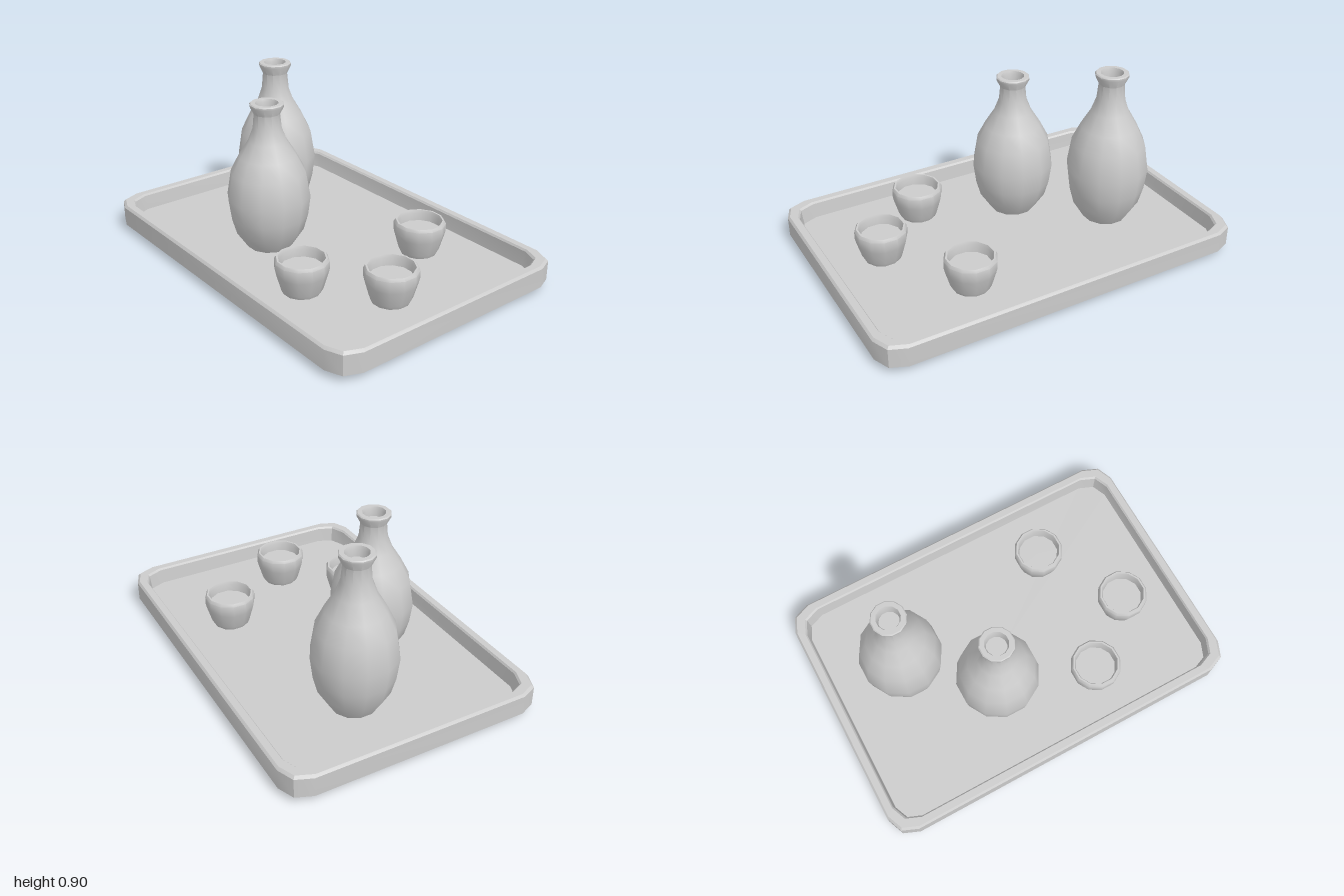
import * as THREE from 'three';
import { toCreasedNormals } from 'three/addons/utils/BufferGeometryUtils.js';

const material = new THREE.MeshStandardMaterial({ color: 0xcccccc });
const FLOOR = 0.06;
const SIDES = 12;

function makeMesh(name, geometry, crease) {
  const mesh = new THREE.Mesh(toCreasedNormals(geometry, crease), material);
  mesh.name = name;
  return mesh;
}

// Faceted turned part from [radius, height] pairs
function turned(name, profile) {
  const points = profile.map(([r, y]) => new THREE.Vector2(r, y));
  return makeMesh(name, new THREE.LatheGeometry(points, SIDES, Math.PI / SIDES), 0.7);
}

// Rectangular tray: clipped-corner outline swept through inset/height sections
function makeTray() {
  const W = 1, D = 0.69;
  const corner = [[1, 0.57], [0.965, 0.655], [0.88, D]];
  const flipped = [...corner].reverse();
  const outline = [
    ...corner,
    ...flipped.map(([x, z]) => [-x, z]),
    ...corner.map(([x, z]) => [-x, -z]),
    ...flipped.map(([x, z]) => [x, -z]),
  ];
  const sections = [
    [null, 0], [0.04, 0], [0, 0.035], [0, 0.137], [0.01, 0.15],
    [0.045, 0.15], [0.052, 0.14], [0.06, FLOOR], [null, FLOOR],
  ];
  const positions = [], index = [], n = outline.length;
  sections.forEach(([inset, y], j) => {
    // a null inset closes the section to the centre
    const sx = inset === null ? 0 : 1 - inset / W;
    const sz = inset === null ? 0 : 1 - inset / D;
    outline.forEach(([x, z], i) => {
      positions.push(x * sx, y, z * sz);
      if (j === sections.length - 1) return;
      const a = j * n + i, d = j * n + (i + 1) % n;
      index.push(a, a + n, d + n, a, d + n, d);
    });
  });
  const geometry = new THREE.BufferGeometry();
  geometry.setAttribute('position', new THREE.Float32BufferAttribute(positions, 3));
  geometry.setIndex(index);
  return makeMesh('tray', geometry, 0.5);
}

// Flask with narrow neck, flared lip and shallow mouth
const flaskProfile = [
  [0, 0], [0.12, 0], [0.18, 0.09], [0.204, 0.175], [0.218, 0.28], [0.195, 0.413],
  [0.15, 0.5], [0.1, 0.58], [0.075, 0.645], [0.067, 0.725], [0.088, 0.765],
  [0.088, 0.775], [0.083, 0.78], [0.06, 0.78], [0.054, 0.765], [0.052, 0.73], [0, 0.73],
];

// Small cup, tapered below and hollow above
const cupProfile = [
  [0, 0], [0.095, 0], [0.105, 0.02], [0.128, 0.1], [0.134, 0.125], [0.134, 0.165],
  [0.125, 0.18], [0.116, 0.18], [0.11, 0.165], [0.107, 0.125], [0, 0.125],
];

export function createModel() {
  const model = new THREE.Group();
  model.name = 'servingSet';
  model.add(makeTray());

  // [x, z, height scale]
  [[-0.56, -0.115, 1.077], [-0.17, 0.217, 1]].forEach(([x, z, s], i) => {
    const flask = turned('flask' + (i + 1), flaskProfile);
    flask.position.set(x, FLOOR, z);
    flask.scale.y = s;
    model.add(flask);
  });

  [[0.33, 0.385], [0.66, 0.11], [0.385, -0.335]].forEach(([x, z], i) => {
    const cup = turned('cup' + (i + 1), cupProfile);
    cup.position.set(x, FLOOR, z);
    model.add(cup);
  });
  return model;
}
